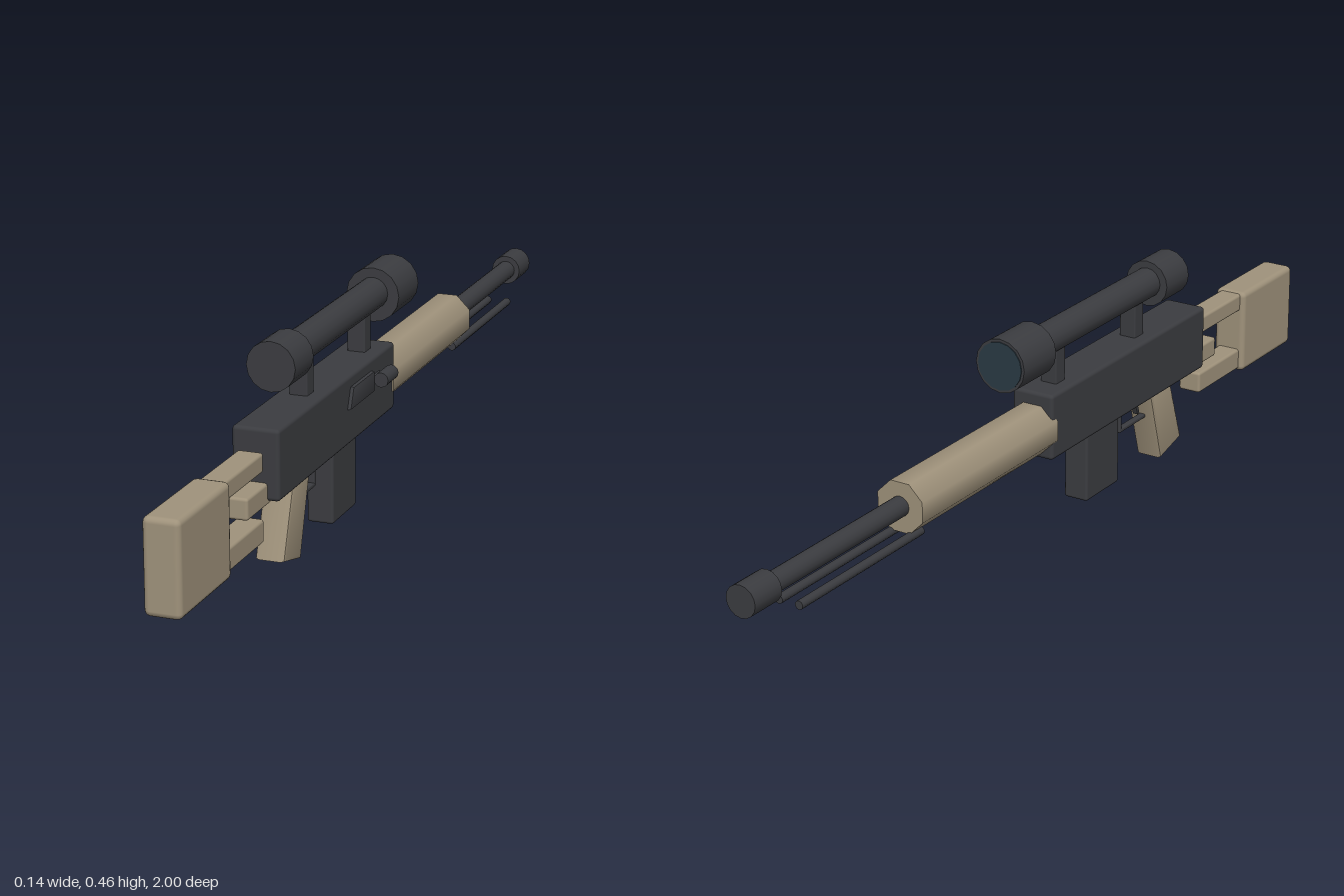
import * as THREE from 'three';
import { RoundedBoxGeometry } from 'three/addons/geometries/RoundedBoxGeometry.js';
import { toCreasedNormals } from 'three/addons/utils/BufferGeometryUtils.js';

const CX = -0.0135; // centre plane of the body
const dark = new THREE.MeshStandardMaterial({ color: 0x3b3c40 });
const tan = new THREE.MeshStandardMaterial({ color: 0x9f927b });
const glass = new THREE.MeshStandardMaterial({ color: 0x2a3a44 });

export function createModel() {
  const model = new THREE.Group();
  model.name = 'rifle';

  const add = (name, geometry, material) => {
    const mesh = new THREE.Mesh(geometry, material);
    mesh.name = name;
    model.add(mesh);
    return mesh;
  };

  // Rounded block given by its z and y ranges and its width
  const block = (name, material, [z0, z1], [y0, y1], width, radius, x = CX) => {
    const g = new RoundedBoxGeometry(width, y1 - y0, z1 - z0, 2, radius);
    g.translate(x, (y0 + y1) / 2, (z0 + z1) / 2);
    return add(name, g, material);
  };

  // Rod lying along z
  const rod = (name, material, [z0, z1], y, radius, sides, x = CX, turn = 0) => {
    const g = new THREE.CylinderGeometry(radius, radius, z1 - z0, sides);
    g.rotateY(turn).rotateX(Math.PI / 2).translate(x, y, (z0 + z1) / 2);
    return add(name, g, material);
  };

  // Side outline of [z, y] points, extruded across x with a small bevel
  const slab = (name, material, points, width, bevel, x = CX) => {
    const shape = new THREE.Shape(points.map(([z, y]) => new THREE.Vector2(z, y)));
    const depth = width - 2 * bevel;
    const g = new THREE.ExtrudeGeometry(shape, {
      depth, bevelThickness: bevel, bevelSize: bevel, bevelOffset: -bevel, bevelSegments: 2,
    });
    g.translate(0, 0, -depth / 2).rotateY(-Math.PI / 2).translate(x, 0, 0);
    return add(name, toCreasedNormals(g, 0.6), material);
  };

  // Stock
  block('buttStock', tan, [0.773, 1], [0.09, 0.278], 0.074, 0.012);
  block('upperStrut', tan, [0.596, 0.79], [0.235, 0.274], 0.052, 0.006);
  block('lowerStrut', tan, [0.596, 0.79], [0.096, 0.143], 0.052, 0.006);
  block('rearTang', tan, [0.555, 0.67], [0.162, 0.206], 0.048, 0.006);

  // Receiver, magazine and grip
  block('receiver', dark, [-0.045, 0.575], [0.17, 0.312], 0.096, 0.008);
  block('magazine', dark, [0.122, 0.251], [0.012, 0.2], 0.056, 0.006);
  slab('grip', tan, [[0.512, 0.025], [0.425, 0.003], [0.37, 0.19], [0.455, 0.19]], 0.062, 0.008);

  // Trigger and guard
  block('guardBar', dark, [0.289, 0.42], [0.104, 0.113], 0.014, 0.003);
  block('guardPost', dark, [0.289, 0.298], [0.104, 0.18], 0.014, 0.003);
  slab('trigger', dark, [[0.352, 0.18], [0.372, 0.124], [0.364, 0.122], [0.342, 0.18]], 0.012, 0.001);

  // Ejection port and bolt on the model's left side
  slab('ejectionPort', dark,
    [[0.222, 0.246], [0.09, 0.246], [0.09, 0.288], [0.205, 0.288]], 0.014, 0.002, 0.035);
  block('boltArm', dark, [0.045, 0.075], [0.26, 0.276], 0.03, 0.003, 0.04);
  rod('boltKnob', dark, [0.028, 0.088], 0.27, 0.0155, 12, 0.0545);

  // Handguard, barrel and folded bipod
  rod('handguard', tan, [-0.51, -0.03], 0.233, 0.056, 8, CX, Math.PI / 8);
  rod('barrel', dark, [-0.94, -0.5], 0.235, 0.021, 16);
  rod('muzzle', dark, [-1, -0.922], 0.235, 0.033, 16);
  for (const side of [-1, 1]) {
    rod('bipodLeg', dark, [-0.862, -0.475], 0.177, 0.009, 10, CX + side * 0.023);
    block('scopeMount', dark, side > 0 ? [0.326, 0.361] : [0.015, 0.05], [0.305, 0.395], 0.038, 0.003);
  }

  // Scope
  rod('scopeTube', dark, [-0.06, 0.42], 0.41, 0.033, 16);
  rod('eyepiece', dark, [0.404, 0.496], 0.408, 0.05, 16);
  rod('objective', dark, [-0.162, -0.045], 0.406, 0.057, 16);
  rod('lens', glass, [-0.164, -0.155], 0.406, 0.051, 16);

  return model;
}
